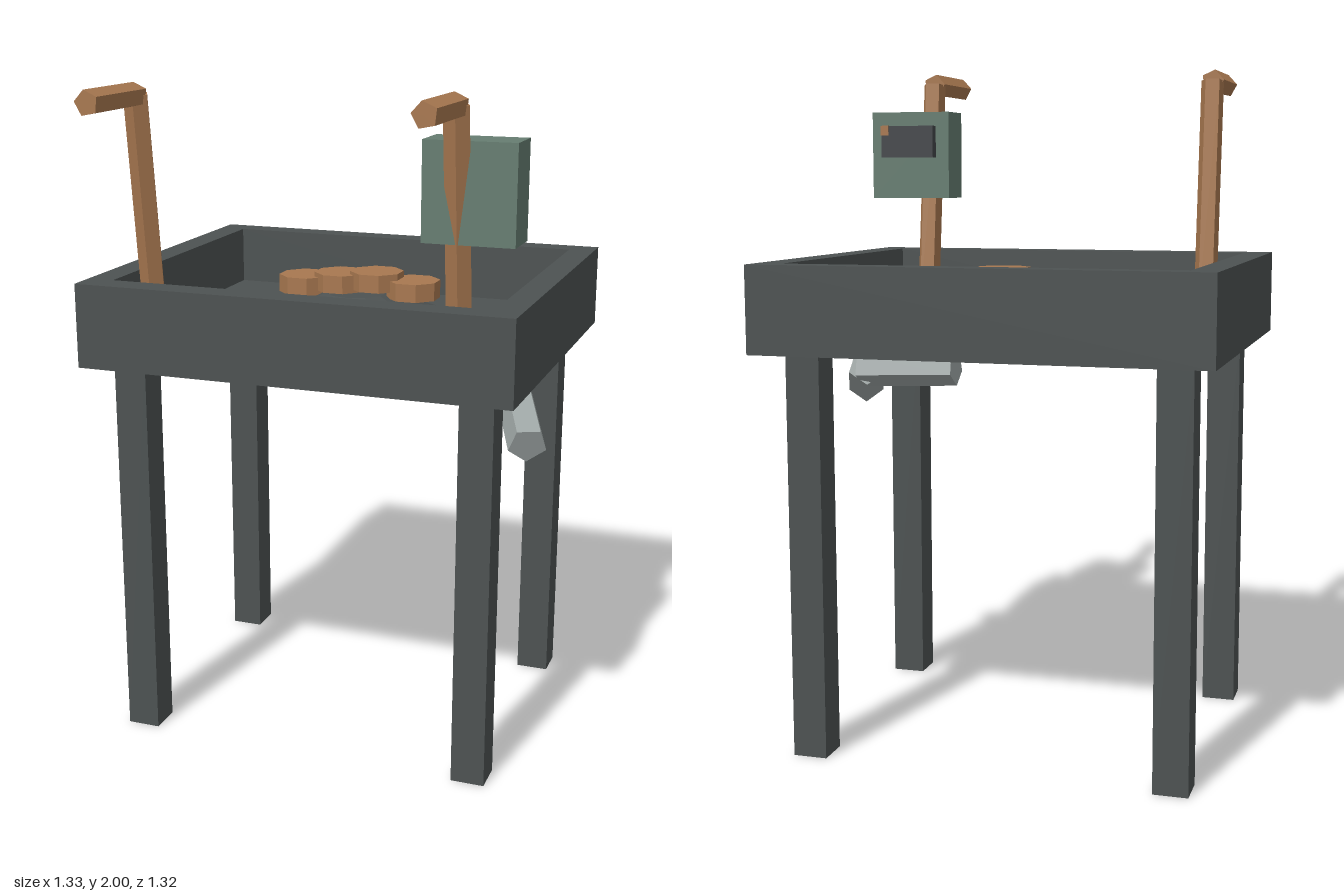
import * as THREE from 'three';

const material = (name, color) => {
  const m = new THREE.MeshStandardMaterial({ color, flatShading: true });
  m.name = name;
  return m;
};

export function createModel() {
  const iron = material('dark iron', 0x4d5252);
  const copper = material('copper brown', 0xa87850);
  const green = material('muted green', 0x667d71);
  const steel = material('pale steel', 0x9ea6a5);
  const slate = material('slate', 0x434549);
  const model = new THREE.Group();
  model.name = 'table';

  const add = (name, geometry, mat) => {
    const mesh = new THREE.Mesh(geometry, mat);
    mesh.name = name;
    model.add(mesh);
    return mesh;
  };
  // Box given by its limits along each axis
  const box = (name, mat, [x0, x1], [y0, y1], [z0, z1]) =>
    add(name, new THREE.BoxGeometry(x1 - x0, y1 - y0, z1 - z0), mat)
      .position.set((x0 + x1) / 2, (y0 + y1) / 2, (z0 + z1) / 2);
  // Five-sided bar between two points, rolled about its own axis
  const bar = (name, mat, from, to, radius, roll) => {
    const a = new THREE.Vector3(...from);
    const b = new THREE.Vector3(...to);
    const geometry = new THREE.CylinderGeometry(radius, radius, a.distanceTo(b), 5);
    geometry.rotateY(roll);
    const mesh = add(name, geometry, mat);
    mesh.position.copy(a).add(b).multiplyScalar(0.5);
    mesh.quaternion.setFromUnitVectors(new THREE.Vector3(0, 1, 0), b.sub(a).normalize());
  };

  // Legs
  for (const x of [-0.6, 0.46])
    for (const z of [-0.57, 0.25]) box('leg', iron, [x, x + 0.1], [0, 1.18], [z, z + 0.1]);

  // Tray: rim walls with an open well, closed below by the floor
  const rim = new THREE.Shape([
    new THREE.Vector2(-0.67, -0.44), new THREE.Vector2(0.635, -0.44),
    new THREE.Vector2(0.635, 0.66), new THREE.Vector2(-0.67, 0.66),
  ]);
  rim.holes.push(new THREE.Path([
    new THREE.Vector2(-0.59, -0.355), new THREE.Vector2(-0.59, 0.585),
    new THREE.Vector2(0.555, 0.585), new THREE.Vector2(0.555, -0.355),
  ]));
  const walls = new THREE.ExtrudeGeometry(rim, { depth: 0.25, bevelEnabled: false });
  walls.rotateX(-Math.PI / 2);
  add('trayWalls', walls, iron).position.y = 1.18;
  box('trayFloor', iron, [-0.59, 0.555], [1.18, 1.25], [-0.585, 0.355]);

  // Low faceted mound in the tray
  const mound = new THREE.CylinderGeometry(0.1, 0.335, 0.09, 11);
  mound.rotateY(0.03);
  mound.scale(0.95, 1, 1.02);
  add('mound', mound, iron).position.set(-0.01, 1.295, -0.14);

  // Row of overlapping octagonal pieces
  [1.38, 1.395, 1.405, 1.385].forEach((top, i) => {
    const piece = new THREE.CylinderGeometry(0.083, 0.083, 0.055, 8);
    piece.rotateY(Math.PI / 8);
    add('octagonalPiece', piece, copper).position.set(-0.19 + 0.118 * i, top - 0.0275, -0.162);
  });

  // Two bent handles
  for (const x of [-0.48, 0.445]) {
    bar('handlePost', copper, [x, 1.25, 0.295], [x, 1.968, 0.378], 0.037, 0.15);
    bar('handleGrip', copper, [x, 1.966, 0.378], [x, 1.966, 0.66], 0.036, Math.PI + 0.2);
  }

  // Control box with a plate and a small marker on its back
  box('controlBox', green, [0.35, 0.61], [1.6, 1.875], [0.24, 0.37]);
  box('controlPlate', slate, [0.39, 0.565], [1.73, 1.83], [0.2, 0.23]);
  box('plateMarker', copper, [0.54, 0.566], [1.8, 1.831], [0.197, 0.205]);

  // Bent pipe under the tray
  bar('pipeInlet', steel, [0.22, 1.093, -0.085], [0.53, 1.08, -0.08], 0.058, 0.3);
  bar('pipeOutlet', steel, [0.51, 1.085, -0.09], [0.61, 0.995, 0.15], 0.058, 0.4);

  return model;
}
